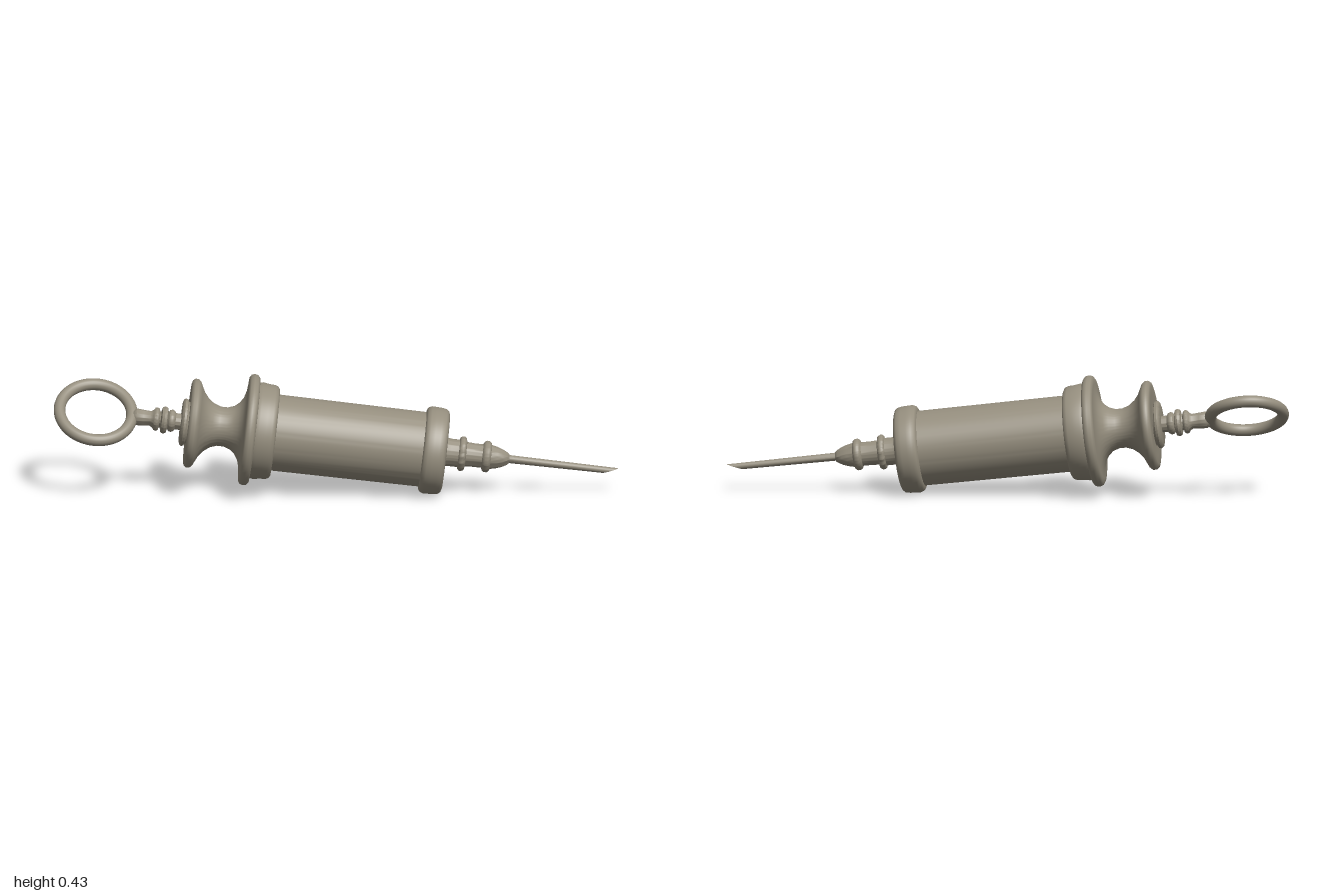
import * as THREE from 'three';
import { toCreasedNormals } from 'three/addons/utils/BufferGeometryUtils.js';

export function createModel() {
  const model = new THREE.Group();
  model.name = 'syringe';
  const metal = new THREE.MeshStandardMaterial({ color: 0x958e7e });
  metal.name = 'dull metal';

  // Tilted frame: local y runs along the syringe towards the needle, local x lies in the ring's plane
  const axis = new THREE.Vector3(1, -0.117, 0.087).normalize();
  const side = new THREE.Vector3(0, 0.52, -0.85);
  side.addScaledVector(axis, -side.dot(axis)).normalize();
  const body = new THREE.Group();
  body.name = 'tiltedBody';
  body.quaternion.setFromRotationMatrix(
    new THREE.Matrix4().makeBasis(side, axis, side.clone().cross(axis)));
  body.position.set(0, 0.2, 0.015);
  model.add(body);

  const add = (name, geometry) => {
    const mesh = new THREE.Mesh(geometry, metal);
    mesh.name = name;
    body.add(mesh);
    return mesh;
  };
  // Turned part from [position along the axis, radius] pairs, with optional scalloped edge
  const turned = (name, profile, lobes = 0) => {
    const geo = new THREE.LatheGeometry(profile.map(([t, r]) => new THREE.Vector2(r, t)), 84);
    const p = geo.attributes.position;
    if (lobes) for (let i = 0; i < p.count; i++) {
      const k = 1 + 0.025 * Math.cos(lobes * Math.atan2(p.getZ(i), p.getX(i)));
      p.setX(i, p.getX(i) * k);
      p.setZ(i, p.getZ(i) * k);
    }
    return add(name, toCreasedNormals(geo, 0.8));
  };

  // Thumb ring
  const ring = add('thumbRing', new THREE.TorusGeometry(0.132, 0.021, 20, 80));
  ring.scale.set(1.02, 0.98, 1);
  ring.position.y = -0.86;

  // Plunger stem with small collars
  turned('plungerStem', [
    [-0.735, 0], [-0.73, 0.018], [-0.715, 0.03], [-0.69, 0.028], [-0.665, 0.026], [-0.655, 0.032],
    [-0.65, 0.04], [-0.642, 0.042], [-0.635, 0.038], [-0.632, 0.028], [-0.628, 0.03],
    [-0.624, 0.045], [-0.615, 0.049], [-0.606, 0.045], [-0.602, 0.03], [-0.597, 0.038],
    [-0.588, 0.04], [-0.58, 0.036], [-0.575, 0.029], [-0.54, 0.029]]);

  // Raised button on the rear disc
  turned('rearButton', [
    [-0.556, 0], [-0.556, 0.07], [-0.553, 0.08], [-0.546, 0.085], [-0.538, 0.083],
    [-0.534, 0.075], [-0.52, 0.07]]);

  // Spool: rear disc, waisted neck and finger flange
  turned('fingerSpool', [
    [-0.53, 0], [-0.53, 0.11], [-0.532, 0.14], [-0.529, 0.152], [-0.52, 0.159], [-0.508, 0.158],
    [-0.499, 0.15], [-0.492, 0.135], [-0.482, 0.115], [-0.466, 0.095], [-0.445, 0.079],
    [-0.42, 0.07], [-0.395, 0.07], [-0.372, 0.078], [-0.355, 0.092], [-0.342, 0.112],
    [-0.334, 0.14], [-0.331, 0.17], [-0.33, 0.186], [-0.324, 0.195], [-0.312, 0.199],
    [-0.3, 0.196], [-0.293, 0.187], [-0.291, 0.165], [-0.29, 0]]);

  // Collar between flange and barrel
  turned('barrelCollar', [
    [-0.295, 0.15], [-0.292, 0.17], [-0.28, 0.173], [-0.255, 0.169], [-0.235, 0.168],
    [-0.224, 0.163], [-0.219, 0.154], [-0.218, 0.13]]);

  // Barrel
  turned('barrel', [[-0.24, 0.136], [0.33, 0.133]]);

  // Front cap with rounded edges
  turned('frontCap', [
    [0.308, 0.128], [0.309, 0.142], [0.315, 0.151], [0.327, 0.156], [0.345, 0.155],
    [0.365, 0.154], [0.38, 0.151], [0.388, 0.144], [0.392, 0.132], [0.388, 0.11], [0.388, 0]]);

  // Needle hub, scalloped collar and nose
  turned('needleHub', [
    [0.38, 0.056], [0.395, 0.051], [0.41, 0.049], [0.44, 0.049]]);
  turned('scallopedCollar', [
    [0.437, 0.04], [0.438, 0.054], [0.444, 0.06], [0.453, 0.061], [0.461, 0.056],
    [0.464, 0.044], [0.464, 0]], 15);
  turned('needleNose', [
    [0.46, 0.044], [0.49, 0.042], [0.522, 0.042], [0.526, 0.051], [0.533, 0.056], [0.543, 0.056],
    [0.55, 0.051], [0.553, 0.043], [0.575, 0.038], [0.595, 0.031], [0.61, 0.023],
    [0.618, 0.017], [0.622, 0]]);

  // Needle with a slanted tip
  const needle = new THREE.CylinderGeometry(0.0115, 0.0145, 0.38, 24);
  needle.translate(0, 0.79, 0);
  const p = needle.attributes.position;
  for (let i = 0; i < p.count; i++) {
    if (p.getY(i) > 0.9) p.setY(i, 0.98 + 2.4 * (0.52 * p.getX(i) - 0.85 * p.getZ(i)));
  }
  add('needle', toCreasedNormals(needle, 0.6));

  return model;
}
